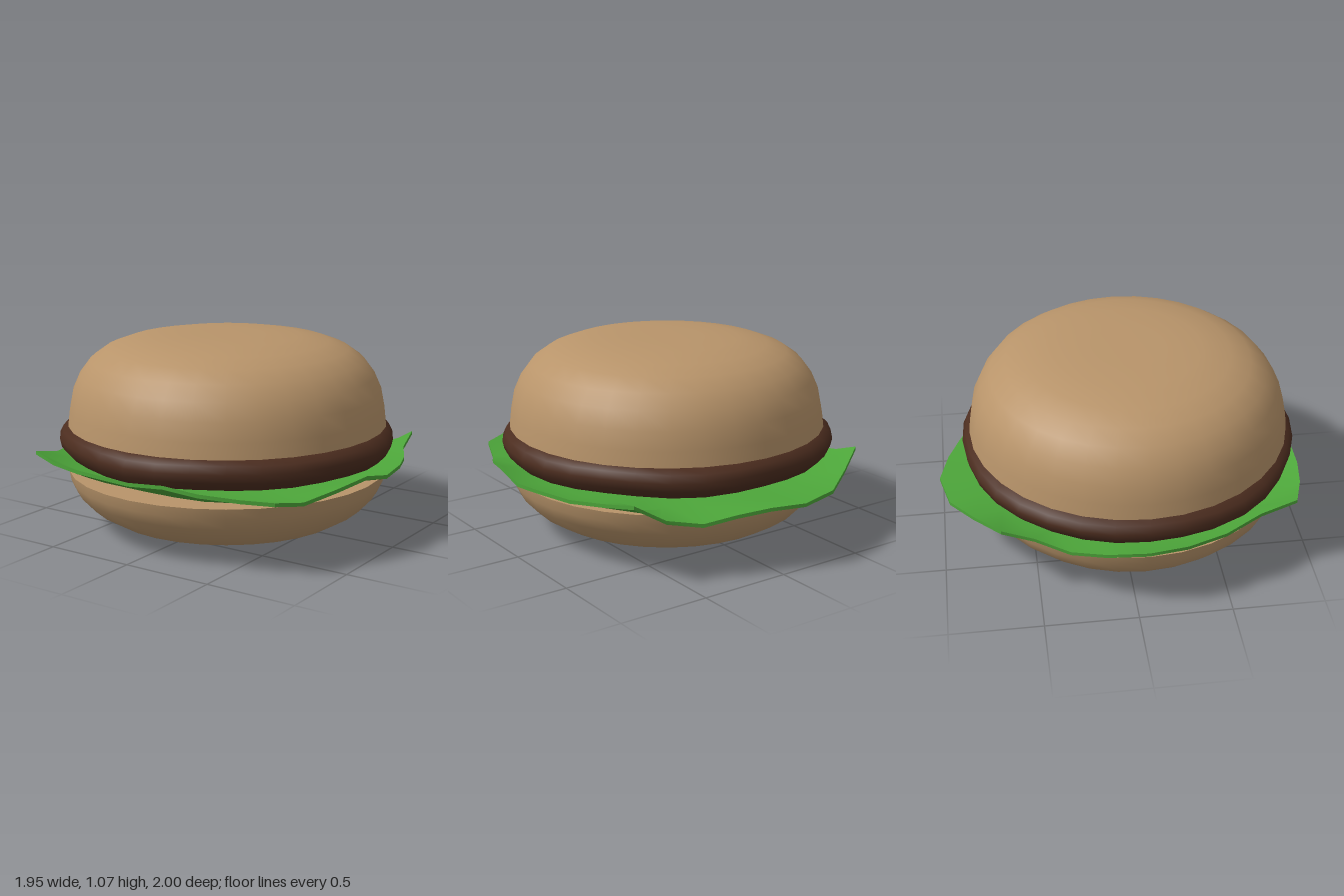
import * as THREE from 'three';
import { toCreasedNormals } from 'three/addons/utils/BufferGeometryUtils.js';

const CX = -0.015, CZ = 0.065; // shared axis of buns and patty

// Round part from a [radius, height] profile, running bottom to top
function turned(name, profile, color, segments, wobble = 0) {
  const lathe = new THREE.LatheGeometry(profile.map(([r, y]) => new THREE.Vector2(r, y)), segments);
  const p = lathe.attributes.position;
  for (let i = 0; i < p.count; i++) {
    const x = p.getX(i), z = p.getZ(i), a = Math.atan2(z, x), r = Math.hypot(x, z);
    const k = 1 + wobble * Math.sin(5 * a + 1) * r;
    p.setXYZ(i, x * k, p.getY(i) + wobble * 0.6 * Math.sin(7 * a) * r, z * k);
  }
  const mesh = new THREE.Mesh(
    toCreasedNormals(lathe, 0.9),
    new THREE.MeshStandardMaterial({ color })
  );
  mesh.name = name;
  mesh.position.set(CX, 0, CZ);
  return mesh;
}

// Ruffled rim of the lettuce leaf: [x, y, z], clockwise from the back
const RIM = [
  [-0.14, 0.35, -1.0], [0.05, 0.35, -0.95], [0.22, 0.33, -0.89], [0.39, 0.30, -0.83],
  [0.56, 0.33, -0.75], [0.74, 0.44, -0.73], [0.79, 0.40, -0.52], [0.88, 0.39, -0.35],
  [0.95, 0.40, -0.16], [0.97, 0.39, 0.03], [0.96, 0.43, 0.23], [0.90, 0.40, 0.44],
  [0.81, 0.36, 0.61], [0.75, 0.39, 0.78], [0.60, 0.40, 0.86], [0.41, 0.42, 0.95],
  [0.22, 0.44, 0.98], [0.0, 0.42, 0.98], [-0.35, 0.43, 0.97], [-0.53, 0.44, 0.94],
  [-0.71, 0.46, 0.88], [-0.74, 0.41, 0.68], [-0.84, 0.38, 0.48], [-0.94, 0.40, 0.26],
  [-0.98, 0.41, 0.05], [-0.93, 0.38, -0.16], [-0.85, 0.35, -0.34], [-0.78, 0.40, -0.52],
  [-0.77, 0.46, -0.69], [-0.56, 0.40, -0.83], [-0.37, 0.36, -0.95],
];

// Thin closed leaf: rings from the centre out over the top, then back underneath
function lettuceLeaf() {
  const rings = [[0, 0], [0.5, 0], [0.82, 0.06], [1, 1], [1, 1], [0.82, 0.06], [0.5, 0], [0, 0]];
  const n = RIM.length, positions = [], index = [];
  rings.forEach(([scale, lift], r) => {
    for (const [x, y, z] of RIM) {
      const thickness = r < 4 ? 0.01 : -0.01;
      positions.push(
        CX + (x - CX) * scale,
        0.345 + (y - 0.345) * lift + thickness,
        CZ + (z - CZ) * scale
      );
    }
  });
  for (let r = 0; r < rings.length - 1; r++) {
    for (let i = 0; i < n; i++) {
      const j = (i + 1) % n;
      const a = r * n + i, b = r * n + j, c = a + n, d = b + n;
      if (r > 0) index.push(a, b, c);
      if (r < rings.length - 2) index.push(b, d, c);
    }
  }
  const geometry = new THREE.BufferGeometry();
  geometry.setAttribute('position', new THREE.Float32BufferAttribute(positions, 3));
  geometry.setIndex(index);
  const mesh = new THREE.Mesh(
    toCreasedNormals(geometry, 0.7),
    new THREE.MeshStandardMaterial({ color: 0x4da63a, side: THREE.DoubleSide })
  );
  mesh.name = 'lettuce';
  return mesh;
}

export function createModel() {
  const group = new THREE.Group();
  group.name = 'burger';
  const bun = 0xb8946a;

  group.add(
    turned('bottomBun', [
      [0, 0], [0.35, 0.004], [0.54, 0.028], [0.67, 0.065], [0.77, 0.125],
      [0.845, 0.205], [0.875, 0.27], [0.885, 0.325], [0, 0.325],
    ], bun, 32),
    lettuceLeaf(),
    turned('patty', [
      [0, 0.39], [0.8, 0.395], [0.88, 0.42], [0.92, 0.465], [0.93, 0.51],
      [0.91, 0.55], [0.86, 0.575], [0, 0.578],
    ], 0x4c2d1f, 32, 0.008),
    turned('topBun', [
      [0, 0.577], [0.885, 0.577], [0.875, 0.66], [0.855, 0.76], [0.815, 0.85],
      [0.755, 0.93], [0.67, 0.99], [0.56, 1.03], [0.4, 1.058], [0.2, 1.064], [0, 1.065],
    ], bun, 32)
  );
  return group;
}
